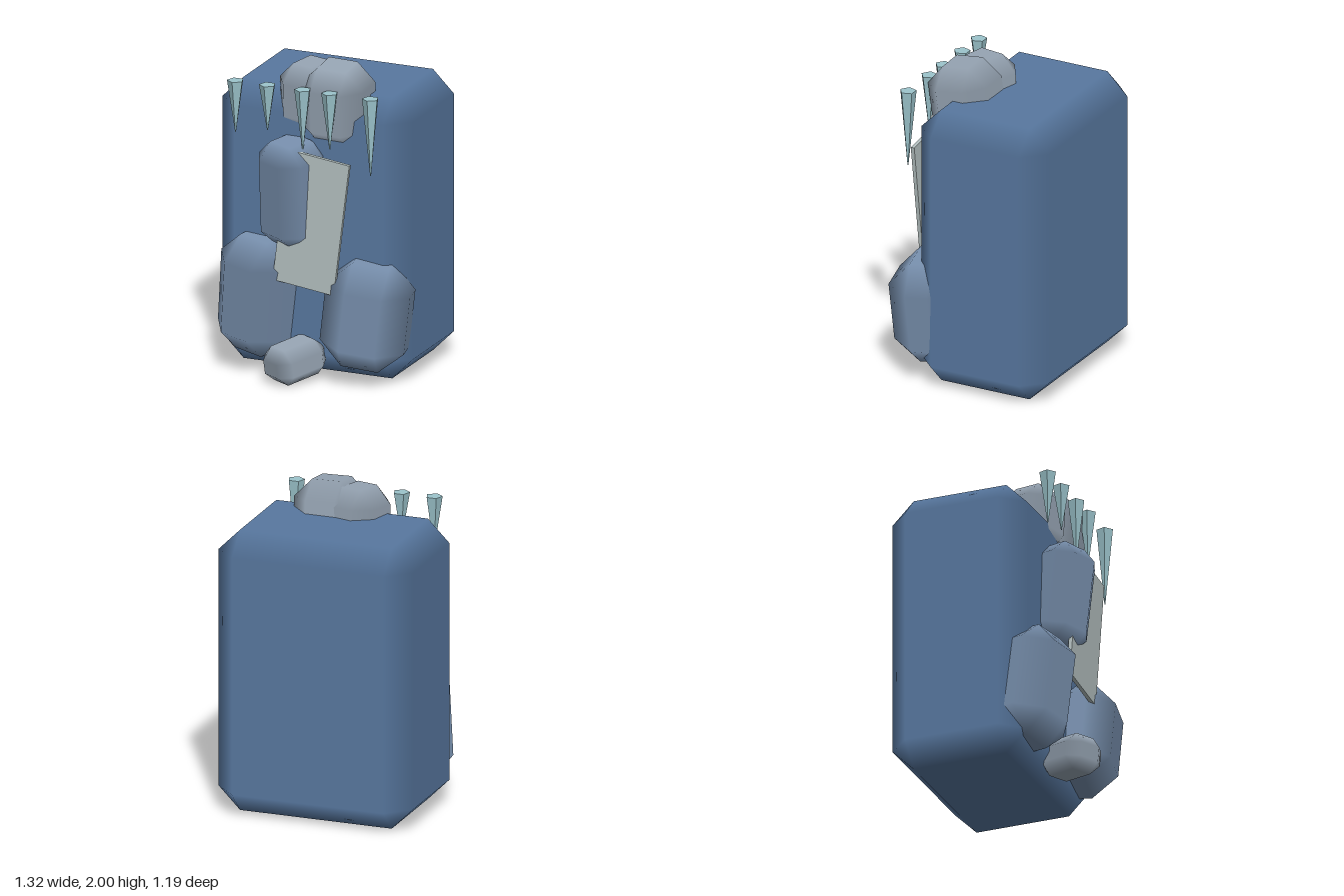
import * as THREE from 'three';
import { ConvexGeometry } from 'three/addons/geometries/ConvexGeometry.js';

// Box with every edge cut once; flat faces, softly shaded cuts
function chamferedBox(halfSize, cut) {
  const points = [];
  for (let axis = 0; axis < 3; axis++) {
    for (let corner = 0; corner < 8; corner++) {
      const p = halfSize.map((h, i) => (i === axis ? h : h - cut) * (corner & (1 << i) ? 1 : -1));
      points.push(new THREE.Vector3(...p));
    }
  }
  const geometry = new ConvexGeometry(points);
  const { position, normal } = geometry.attributes;
  for (let v = 0; v < position.count; v++) {
    const p = [position.getX(v), position.getY(v), position.getZ(v)];
    const n = p.map((c, i) => (Math.abs(c) > halfSize[i] - 1e-4 ? Math.sign(c) : 0));
    normal.setXYZ(v, ...n);
  }
  return geometry;
}

export function createModel() {
  const group = new THREE.Group();
  const paint = (color, flatShading = false) => new THREE.MeshStandardMaterial({ color, flatShading });
  const blue = paint(0x5878a0);
  const slate = paint(0x7890ae);
  const stone = paint(0x97a5b4);
  const board = paint(0xb4c0c0);
  const ice = paint(0x9cc4cc, true);

  function add(name, geometry, material, position, rotation = [0, 0, 0]) {
    const mesh = new THREE.Mesh(geometry, material);
    mesh.name = name;
    mesh.position.set(...position);
    mesh.rotation.set(...rotation);
    group.add(mesh);
    return mesh;
  }

  // Large block behind everything
  add('mainBlock', chamferedBox([0.635, 0.9, 0.445], 0.14), blue, [-0.023, 0.92, -0.153]);

  // Boulders: name, material, half size, cut, position, rotation
  const boulders = [
    ['topBoulderLeft', stone, [0.21, 0.25, 0.205], 0.115, [0.118, 1.745, 0.165], [0.12, 0, -0.03]],
    ['topBoulderRight', stone, [0.175, 0.21, 0.19], 0.105, [-0.07, 1.768, 0.14], [0.05, -0.25, 0]],
    ['middleBoulder', slate, [0.185, 0.335, 0.19], 0.1, [-0.115, 1.195, 0.33], [0.1, -0.4, -0.02]],
    ['lowerBoulderRight', slate, [0.25, 0.38, 0.21], 0.148, [-0.37, 0.495, 0.275], [0.06, -0.28, -0.09]],
    ['lowerBoulderLeft', slate, [0.265, 0.34, 0.22], 0.15, [0.365, 0.455, 0.28], [0.06, 0.18, -0.13]],
    ['footStone', stone, [0.135, 0.115, 0.185], 0.07, [-0.07, 0.14, 0.395], [0.17, -0.5, 0.08]],
  ];
  for (const [name, material, halfSize, cut, position, rotation] of boulders) {
    add(name, chamferedBox(halfSize, cut), material, position, rotation);
  }

  // Thin leaning slab
  add('leaningSlab', new THREE.BoxGeometry(0.41, 0.855, 0.024), board, [0.06, 1.048, 0.432], [0.012, 0, -0.128]);

  // Row of five-sided icicles hanging from one height: x and tip height
  const icicleTop = 1.88;
  const icicles = [[-0.46, 1.55], [-0.247, 1.59], [-0.012, 1.49], [0.168, 1.52], [0.44, 1.385]];
  icicles.forEach(([x, tip], i) => {
    const length = icicleTop - tip;
    add(`icicle${i + 1}`, new THREE.CylinderGeometry(0.053, 0.003, length, 5), ice, [x, tip + length / 2, 0.402]);
  });

  return group;
}
